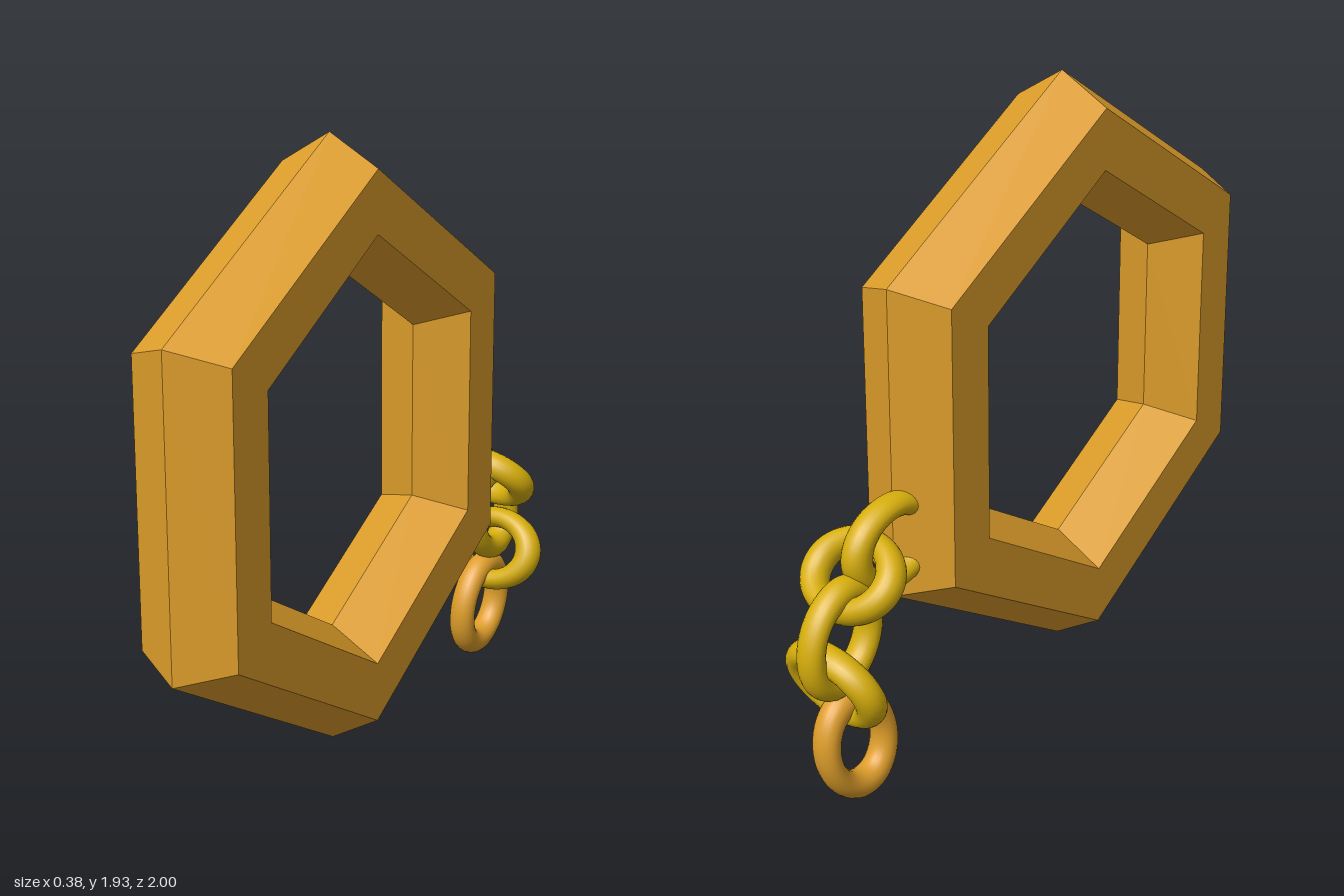
import * as THREE from 'three';

const bronze = 0xdd9d2a;
const gold = 0xd6ae0c;

// Oval chain link: `long` and `short` give the directions of its two axes.
function makeLink(name, color, centre, long, short) {
  const y = new THREE.Vector3(...long).normalize();
  const z = new THREE.Vector3(...short).cross(y).normalize();
  const x = new THREE.Vector3().crossVectors(y, z);
  const geometry = new THREE.TorusGeometry(0.14, 0.045, 20, 48);
  geometry.scale(0.78, 1, 1);
  geometry.applyMatrix4(new THREE.Matrix4().makeBasis(x, y, z));
  const mesh = new THREE.Mesh(geometry, new THREE.MeshStandardMaterial({ color }));
  mesh.name = name;
  mesh.position.set(...centre);
  return mesh;
}

export function createModel() {
  const model = new THREE.Group();
  model.name = 'hexagonRingWithChain';

  // Six-sided ring with a six-sided section, standing on a corner
  const ringGeometry = new THREE.TorusGeometry(0.742, 0.185, 6, 6);
  ringGeometry.rotateZ(Math.PI / 2).rotateY(Math.PI / 2);
  const ring = new THREE.Mesh(
    ringGeometry,
    new THREE.MeshStandardMaterial({ color: bronze, flatShading: true })
  );
  ring.name = 'hexagonRing';
  ring.position.set(-0.012, 1.008, 0.198);
  model.add(ring);

  // Chain: upright links alternate with links lying across, hanging from the back
  const chain = new THREE.Group();
  chain.name = 'chain';
  const along = (deg) => {
    const a = THREE.MathUtils.degToRad(deg);
    return [-0.05 * Math.sin(a), Math.cos(a), Math.sin(a)];
  };
  const across = [1, -0.04, 0.11];
  chain.add(
    makeLink('anchorLink', gold, [-0.032, 0.737, -0.635], along(82), along(-8)),
    makeLink('upperCrossLink', gold, [0.003, 0.672, -0.763], across, [0, 0.72, 0.7]),
    makeLink('middleLink', gold, [-0.02, 0.52, -0.847], along(21), along(-69)),
    makeLink('lowerCrossLink', gold, [-0.008, 0.377, -0.859], [1, 0, 0.11], [0, 0.92, -0.39]),
    makeLink('endLink', bronze, [-0.04, 0.183, -0.821], [0.07, 0.966, -0.259], [-0.05, 0.259, 0.966])
  );
  model.add(chain);

  return model;
}
